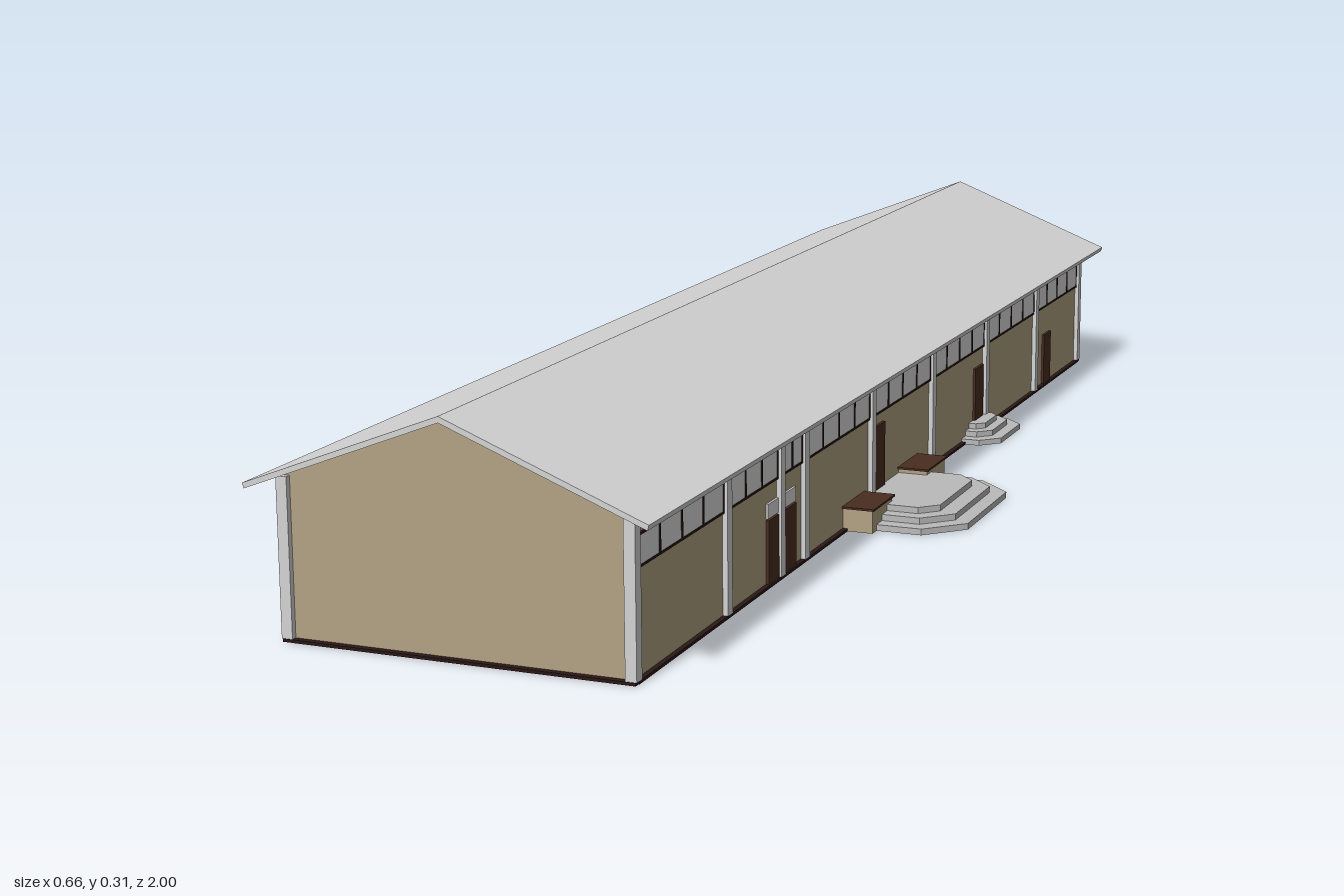
import * as THREE from 'three';

const mat = (name, color, side = THREE.FrontSide) => {
  const m = new THREE.MeshStandardMaterial({ color, side });
  m.name = name;
  return m;
};

export function createModel() {
  const root = new THREE.Group();
  root.name = 'longHall';
  const tan = mat('tanWall', 0xb3a283, THREE.DoubleSide);
  const grey = mat('lightGrey', 0xd4d4d4);
  const glass = mat('paleGlass', 0xdcdcdc);
  const stone = mat('stepGrey', 0xbababa);
  const brown = mat('doorBrown', 0x4a2c22);
  const dark = mat('darkTrim', 0x2a1816);

  const RIDGE = -0.063, LEFT = 0.168, RIGHT = -0.294, END = 0.965;

  const add = (name, geo, material, parent = root) => {
    const m = new THREE.Mesh(geo, material);
    m.name = name;
    parent.add(m);
    return m;
  };
  // Box given by its extents
  const box = (name, material, x0, x1, y0, y1, z0, z1, parent = root) => {
    const m = add(name, new THREE.BoxGeometry(x1 - x0, y1 - y0, z1 - z0), material, parent);
    m.position.set((x0 + x1) / 2, (y0 + y1) / 2, (z0 + z1) / 2);
    return m;
  };
  const shape = (pts) => new THREE.Shape(pts.map(([x, y]) => new THREE.Vector2(x, y)));

  // Gabled roof slab
  const roof = new THREE.ExtrudeGeometry(shape([
    [-0.332, 0.205], [-0.33, 0.198], [RIDGE, 0.302], [0.203, 0.198], [0.205, 0.205], [RIDGE, 0.31],
  ]), { depth: 2, bevelEnabled: false });
  roof.translate(0, 0, -1);
  add('roof', roof, grey);

  // Thin end walls, open underneath
  for (const s of [1, -1]) {
    const gable = new THREE.ShapeGeometry(shape([
      [RIGHT, 0], [LEFT, 0], [LEFT, 0.211], [RIDGE, 0.302], [RIGHT, 0.211],
    ]));
    const m = add('gableWall', gable, tan);
    m.position.z = s * END;
    if (s < 0) m.geometry.scale(1, 1, 1);
    box('baseTrim', dark, RIGHT - 0.006, LEFT + 0.006, 0, 0.004, s * END - 0.009, s * END + 0.009);
  }

  // Long walls with columns and a band of high windows
  const columns = [-0.965, -0.695, -0.41, -0.135, 0.14, 0.41, 0.5, 0.685, 0.965];
  for (const x of [LEFT, RIGHT]) {
    const side = new THREE.Group();
    side.name = x > 0 ? 'leftSide' : 'rightSide';
    root.add(side);
    const wall = add('longWall', new THREE.PlaneGeometry(END * 2, 0.21), tan, side);
    wall.rotation.y = x > 0 ? Math.PI / 2 : -Math.PI / 2;
    wall.position.set(x, 0.105, 0);
    box('baseTrim', dark, x - 0.007, x + 0.007, 0, 0.004, -END, END, side);

    columns.forEach((z, i) => {
      box('column', grey, x - 0.008, x + 0.007, 0.004, 0.21, z - 0.008, z + 0.008, side);
      if (i === columns.length - 1) return;
      const a = z + 0.008, b = columns[i + 1] - 0.008;
      box('windowBand', glass, x - 0.002, x + 0.002, 0.14, 0.178, a, b, side);
      for (const y of [0.139, 0.178])
        box('windowRail', dark, x - 0.003, x + 0.003, y - 0.0015, y + 0.0015, a, b, side);
      const n = Math.max(2, Math.round((b - a) / 0.064));
      for (let k = 0; k <= n; k++) {
        const p = a + ((b - a) * k) / n;
        box('mullion', dark, x - 0.003, x + 0.003, 0.14, 0.178, p - 0.002, p + 0.002, side);
      }
    });
  }

  // Doors: z range, bottom, top
  for (const [z0, z1, y0, y1] of [
    [0.508, 0.545, 0.004, 0.09], [0.444, 0.49, 0.004, 0.09],
    [0.085, 0.13, 0.027, 0.122], [-0.396, -0.353, 0.025, 0.11], [-0.79, -0.748, 0.004, 0.09],
  ]) box('door', brown, LEFT - 0.004, LEFT + 0.004, y0, y1, z0, z1);
  // Glazed transoms over the double entrance
  for (const [z0, z1] of [[0.508, 0.545], [0.444, 0.49]])
    box('transom', glass, LEFT - 0.003, LEFT + 0.003, 0.092, 0.112, z0, z1);

  // Stacked steps with cut corners; tier = [outer x, half width, corner cut]
  const steps = (name, zc, tiers, h) => {
    const g = new THREE.Group();
    g.name = name;
    root.add(g);
    tiers.forEach(([x, w, c], i) => {
      const geo = new THREE.ExtrudeGeometry(shape([
        [LEFT, -w], [x - c, -w], [x, -w + c], [x, w - c], [x - c, w], [LEFT, w],
      ]), { depth: h, bevelEnabled: false });
      geo.rotateX(-Math.PI / 2);
      geo.translate(0, i * h, zc);
      add('step', geo, stone, g);
    });
  };
  steps('mainSteps', 0.09, [[0.33, 0.145, 0.052], [0.308, 0.122, 0.04], [0.283, 0.1, 0.025]], 0.009);
  steps('smallSteps', -0.375, [[0.225, 0.08, 0.028], [0.207, 0.06, 0.02], [0.192, 0.042, 0.012]], 0.0085);

  // Low flanking walls with caps beside the main steps
  for (const [z0, z1] of [[-0.072, 0.012], [0.168, 0.252]]) {
    box('flankWall', tan, LEFT, 0.212, 0, 0.033, z0, z1);
    box('flankCap', brown, LEFT, 0.215, 0.033, 0.036, z0 - 0.004, z1 + 0.004);
  }
  return root;
}
